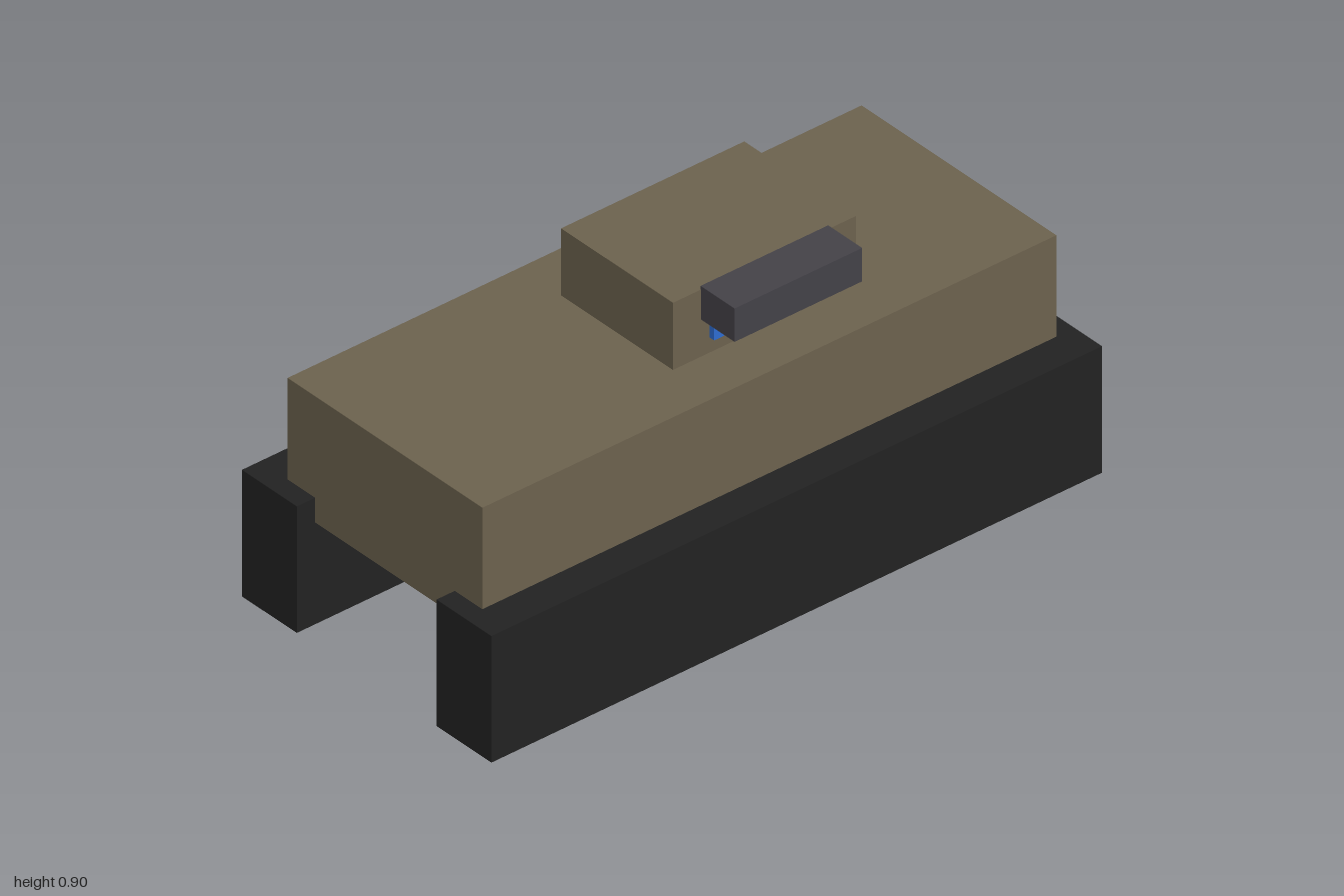
import * as THREE from 'three';

const flat = (name, color) => {
  const m = new THREE.MeshStandardMaterial({ color });
  m.name = name;
  return m;
};

export function createModel() {
  const armour = flat('drab armour', 0x6b614d);
  const rubber = flat('black track', 0x222222);
  const metal = flat('dark grey metal', 0x434147);
  const blue = flat('blue panel', 0x2d6bcf);

  const model = new THREE.Group();
  model.name = 'trackedVehicle';

  // Box given by its [min, max] extent on each axis
  const box = (name, material, [x0, x1], [y0, y1], [z0, z1]) => {
    const mesh = new THREE.Mesh(new THREE.BoxGeometry(x1 - x0, y1 - y0, z1 - z0), material);
    mesh.position.set((x0 + x1) / 2, (y0 + y1) / 2, (z0 + z1) / 2);
    mesh.name = name;
    model.add(mesh);
  };

  // Hull and turret
  box('hull', armour, [-0.378, 0.378], [0.308, 0.69], [-0.94, 0.94]);
  box('turret', armour, [-0.217, 0.217], [0.69, 0.893], [-0.42, 0.18]);

  // Launcher pod on the left side of the turret
  box('launcherPod', metal, [0.215, 0.347], [0.802, 0.903], [-0.33, 0.088]);

  // Mirrored tracks and turret side panels
  for (const [side, s] of [['left', 1], ['right', -1]]) {
    const span = (a, b) => (s > 0 ? [a, b] : [-b, -a]);
    box(`${side}Track`, rubber, span(0.271, 0.484), [0, 0.383], [-1, 1]);
    box(`${side}TurretPanel`, blue, span(0.217, 0.235), [0.736, 0.846], [-0.297, 0.06]);
  }

  return model;
}
